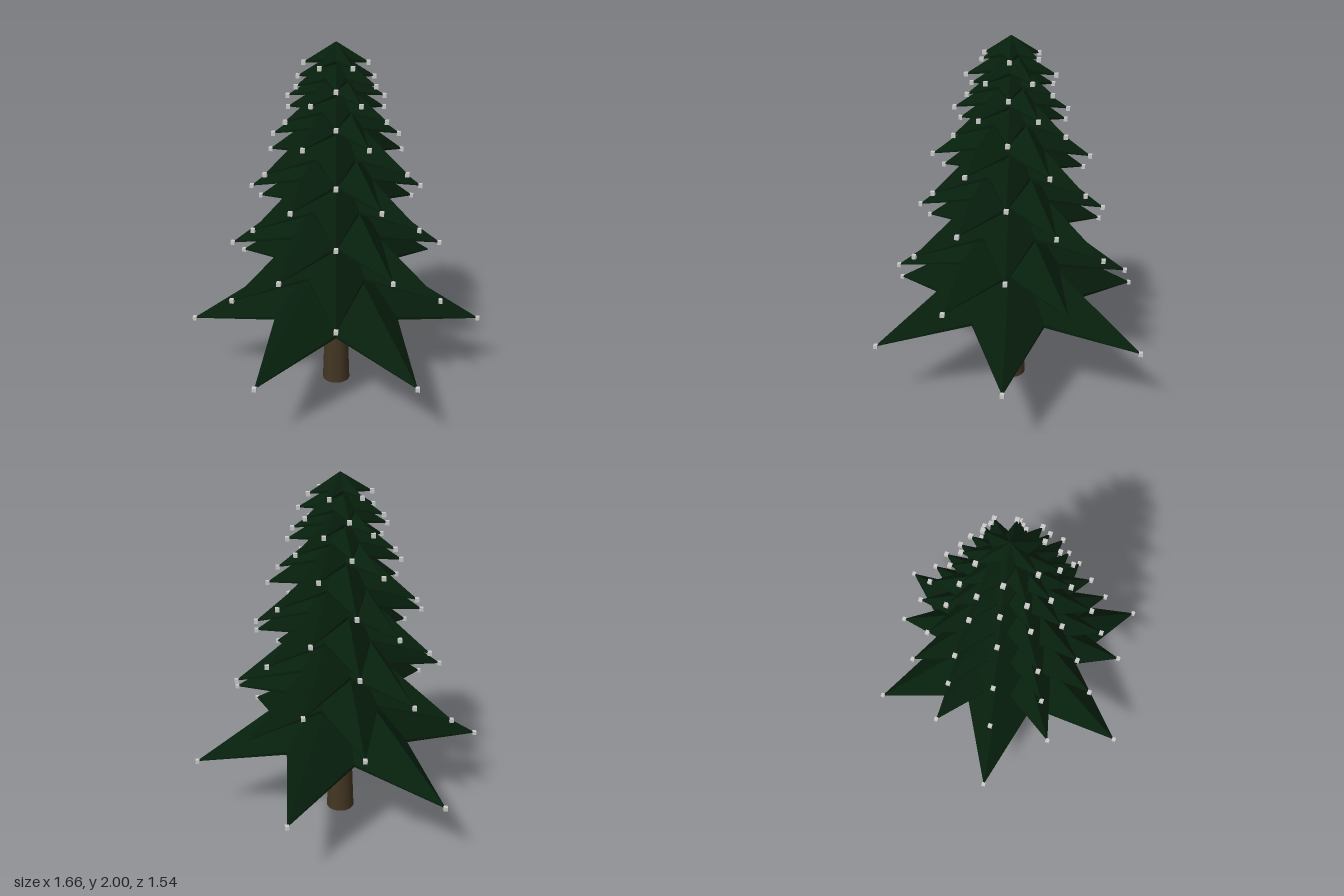
import * as THREE from 'three';

const POINTS = 6;
const START = -0.123; // heading of the first branch tip
const THICK = 0.018;

// [tip radius, tip height, apex height] for each layer, bottom to top
const TIERS = [
  [0.823, 0.40, 0.95], [0.642, 0.69, 1.17], [0.577, 0.885, 1.33], [0.502, 1.07, 1.47],
  [0.457, 1.225, 1.59], [0.422, 1.365, 1.69], [0.332, 1.52, 1.77], [0.298, 1.625, 1.83],
  [0.251, 1.725, 1.89], [0.233, 1.8, 1.95], [0.166, 1.897, 2.0],
];

const polar = (r, y, a) => new THREE.Vector3(r * Math.cos(a), y, r * Math.sin(a));
const tipAngle = (tier, i) => START + (i + (tier % 2) / 2) * (2 * Math.PI / POINTS);

// Pleated star-shaped layer: ridges run to the tips, creases to the raised notches
function starLayer(tier) {
  const [radius, tipY, apexY] = TIERS[tier];
  const height = apexY - tipY;
  const hem = [];
  for (let i = 0; i < POINTS; i++) {
    hem.push(polar(radius, tipY, tipAngle(tier, i)));
    hem.push(polar(radius * 0.475, tipY + height * 0.21, tipAngle(tier, i + 0.5)));
  }
  const apex = new THREE.Vector3(0, apexY, 0);
  const hollow = new THREE.Vector3(0, tipY + height * 0.42, 0);
  // the rim narrows to a sharp edge at each tip
  const lower = hem.map((v, i) => new THREE.Vector3(v.x, v.y - (i % 2 ? THICK : 0.004), v.z));
  const pts = [];
  hem.forEach((a, i) => {
    const j = (i + 1) % hem.length;
    pts.push(apex, hem[j], a); // upper face
    pts.push(a, hem[j], lower[j], a, lower[j], lower[i]); // rim
    pts.push(hollow, lower[i], lower[j]); // shallow underside
  });
  const geo = new THREE.BufferGeometry().setFromPoints(pts);
  geo.computeVertexNormals();
  return geo;
}

export function createModel() {
  const tree = new THREE.Group();
  tree.name = 'pineTree';
  const needles = new THREE.MeshStandardMaterial({ color: 0x071f0d, flatShading: true });
  const bark = new THREE.MeshStandardMaterial({ color: 0x433522 });
  const grey = new THREE.MeshStandardMaterial({ color: 0xcccccc });

  // Tapered trunk
  const trunk = new THREE.Mesh(new THREE.CylinderGeometry(0.05, 0.08, 0.8, 24), bark);
  trunk.name = 'trunk';
  trunk.position.y = 0.4;
  tree.add(trunk);

  // Stacked layers, every other one turned half a step, with a small cube on each tip
  const cube = new THREE.BoxGeometry(0.022, 0.022, 0.022);
  TIERS.forEach(([radius, tipY], tier) => {
    const layer = new THREE.Mesh(starLayer(tier), needles);
    layer.name = `branchLayer${tier + 1}`;
    tree.add(layer);

    const lights = new THREE.Group();
    lights.name = `tipLights${tier + 1}`;
    for (let i = 0; i < POINTS; i++) {
      if (tier === 1 && i === 5) continue; // one tip is bare
      const light = new THREE.Mesh(cube, grey);
      light.name = 'tipLight';
      light.position.copy(polar(radius, tipY - 0.004, tipAngle(tier, i)));
      lights.add(light);
    }
    tree.add(lights);
  });
  tree.position.set(0.003, 0, -0.004);
  return tree;
}
